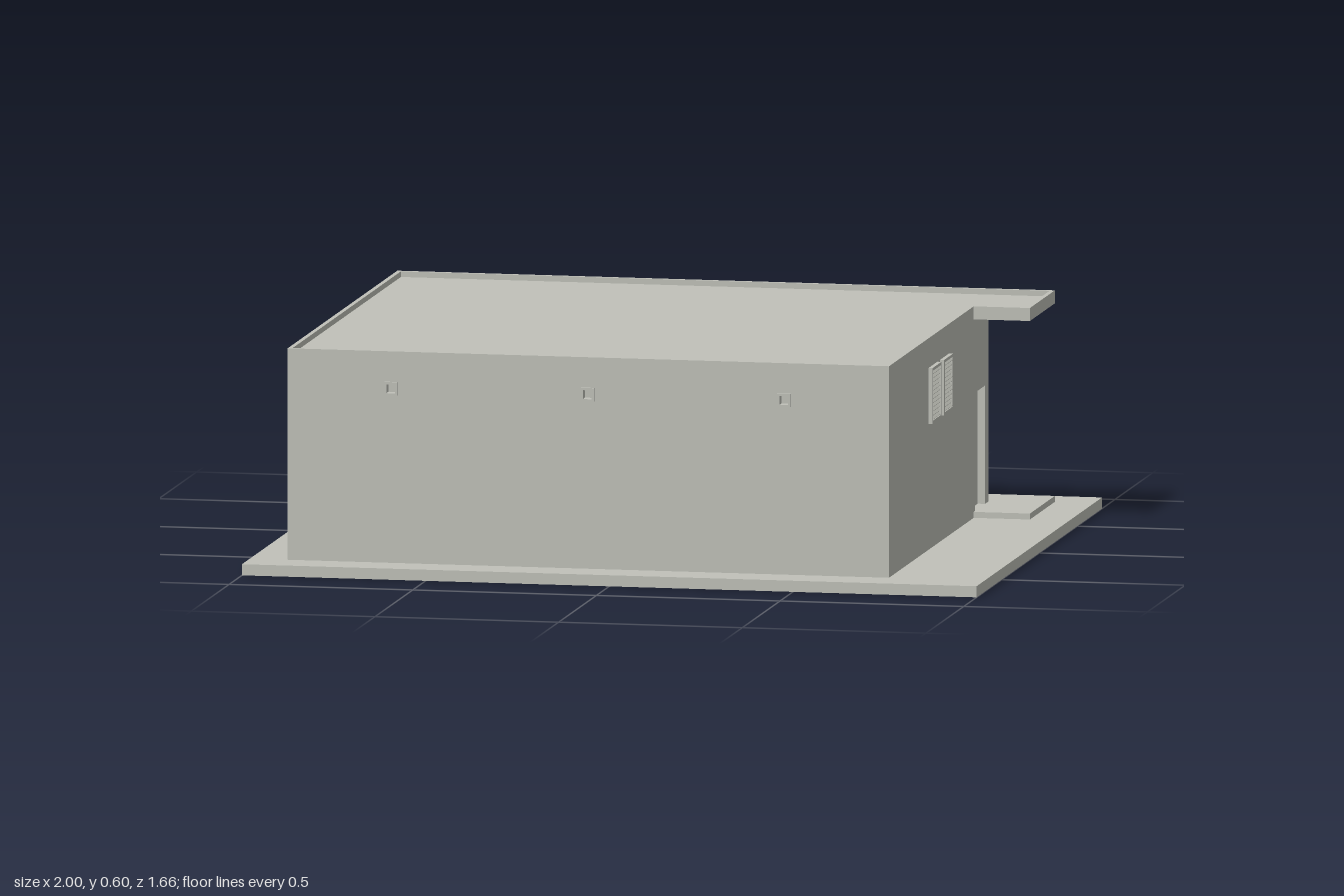
import * as THREE from 'three';

const concrete = new THREE.MeshStandardMaterial({ color: 0xc0c1b9 });
concrete.name = 'concrete grey';

// Main outline of the building
const X0 = -0.897, X1 = 0.74, XE = 0.893, Z0 = -0.59, Z1 = 0.725, ZE = -0.726, ZS = -0.395;
const GROUND = 0.03, SOFFIT = 0.565, TOP = 0.6;

function add(parent, name, geometry) {
  const mesh = new THREE.Mesh(geometry, concrete);
  mesh.name = name;
  parent.add(mesh);
  return mesh;
}

// Box given by its two opposite corners
function block(parent, name, x0, x1, y0, y1, z0, z1) {
  const mesh = add(parent, name, new THREE.BoxGeometry(x1 - x0, y1 - y0, z1 - z0));
  mesh.position.set((x0 + x1) / 2, (y0 + y1) / 2, (z0 + z1) / 2);
  return mesh;
}

function rect(Type, x0, x1, y0, y1) {
  return new Type([[x0, y0], [x1, y0], [x1, y1], [x0, y1]].map(p => new THREE.Vector2(...p)));
}

// Upright wall panel with rectangular openings, its outer face towards local +z
function wall(parent, name, x0, x1, depth, openings) {
  const shape = rect(THREE.Shape, x0, x1, GROUND, SOFFIT);
  shape.holes = openings.map(o => rect(THREE.Path, ...o));
  const geometry = new THREE.ExtrudeGeometry(shape, { depth, bevelEnabled: false });
  geometry.translate(0, 0, -depth);
  return add(parent, name, geometry);
}

// Rectangular frame, its back on local z = 0
function frame(parent, name, w, h, border, depth) {
  const shape = rect(THREE.Shape, -w / 2, w / 2, -h / 2, h / 2);
  shape.holes = [rect(THREE.Path, -w / 2 + border, w / 2 - border, -h / 2 + border, h / 2 - border)];
  return add(parent, name, new THREE.ExtrudeGeometry(shape, { depth, bevelEnabled: false }));
}

// Framed panel of sloping slats, centred, facing local +z
function louvre(name, w, h, border, depth, count) {
  const group = new THREE.Group();
  group.name = name;
  frame(group, 'louvreFrame', w, h, border, depth);
  const pitch = (h - 2 * border) / count;
  const slat = new THREE.BoxGeometry(w - 2 * border, 0.003, depth * 1.1);
  slat.rotateX(0.7);
  for (let i = 0; i < count; i++) {
    const mesh = add(group, 'slat', slat);
    mesh.position.set(0, -h / 2 + border + (i + 0.5) * pitch, depth * 0.45);
  }
  return group;
}

// L-shaped roof outline, drawn in by an inset
function roofOutline(Type, d) {
  return new Type([
    [X0 + d, -Z1 + d], [X1 - d, -Z1 + d], [X1 - d, -ZS + d],
    [XE - d, -ZS + d], [XE - d, -ZE - d], [X0 + d, -ZE - d],
  ].map(p => new THREE.Vector2(...p)));
}

function layer(parent, name, shape, y0, y1) {
  const geometry = new THREE.ExtrudeGeometry(shape, { depth: y1 - y0, bevelEnabled: false });
  geometry.rotateX(-Math.PI / 2);
  geometry.translate(0, y0, 0);
  return add(parent, name, geometry);
}

export function createModel() {
  const model = new THREE.Group();
  model.name = 'utilityBuilding';

  // Base slab and raised step along the back and round the door
  block(model, 'baseSlab', -1, 1, 0, GROUND, -0.83, 0.83);
  block(model, 'backStep', X0, XE, GROUND, 0.046, ZE, Z0);
  block(model, 'doorStep', X1, XE, GROUND, 0.046, Z0, ZS);

  // Solid core behind the wall panels
  const skin = 0.02, recess = 0.03;
  block(model, 'core', X0, X1 - skin, GROUND, SOFFIT, Z0 + recess, Z1 - skin);

  // Front wall with three small vents
  const ventX = [-0.615, -0.08, 0.455], ventY = 0.5;
  const front = wall(model, 'frontWall', X0, X1 - skin, skin,
    ventX.map(x => [x - 0.012, x + 0.012, ventY - 0.012, ventY + 0.012]));
  front.position.z = Z1;
  for (const x of ventX) {
    frame(model, 'smallVent', 0.036, 0.036, 0.006, 0.008).position.set(x, ventY, Z1);
  }

  // Wall on the model's left with the recessed door
  const side = wall(model, 'doorWall', -Z1, -Z0, skin, [[0.415, 0.545, 0.046, 0.365]]);
  side.rotation.y = Math.PI / 2;
  side.position.x = X1;
  const handle = block(model, 'doorHandle', X1 - skin, X1 - 0.01, 0.19, 0.2, -0.44, -0.425);
  handle.name = 'doorHandle';

  // Pairs of louvred windows on both sides
  for (const s of [1, -1]) {
    for (const z of [0.145, -0.012]) {
      const vent = louvre('sideLouvre', 0.12, 0.15, 0.008, 0.011, 12);
      vent.rotation.y = s * Math.PI / 2;
      vent.position.set(s > 0 ? X1 : X0, 0.445, z);
      model.add(vent);
    }
  }

  // Back wall with three bays between posts, each holding two louvred doors
  const post = 0.052, xa = -X1 + skin, xb = -X0;
  const bay = (X1 - X0 - 4 * post) / 3, y0 = 0.05, y1 = 0.5;
  const starts = [0, 1, 2].map(i => -X1 + post + i * (bay + post));
  const back = wall(model, 'backWall', xa, xb, recess, starts.map(x => [x, x + bay, y0, y1]));
  back.rotation.y = Math.PI;
  back.position.z = Z0;
  for (const x of starts) {
    for (const k of [0.25, 0.75]) {
      const door = louvre('louvreDoor', bay / 2, y1 - y0, 0.008, 0.013, 24);
      door.rotation.y = Math.PI;
      door.position.set(-(x + bay * k), (y0 + y1) / 2, Z0 + recess);
      model.add(door);
    }
  }

  // Roof slab with a low rim
  layer(model, 'roofSlab', roofOutline(THREE.Shape, 0), SOFFIT, TOP - 0.015);
  const rim = roofOutline(THREE.Shape, 0);
  rim.holes = [roofOutline(THREE.Path, 0.012)];
  layer(model, 'roofRim', rim, TOP - 0.015, TOP);

  return model;
}
